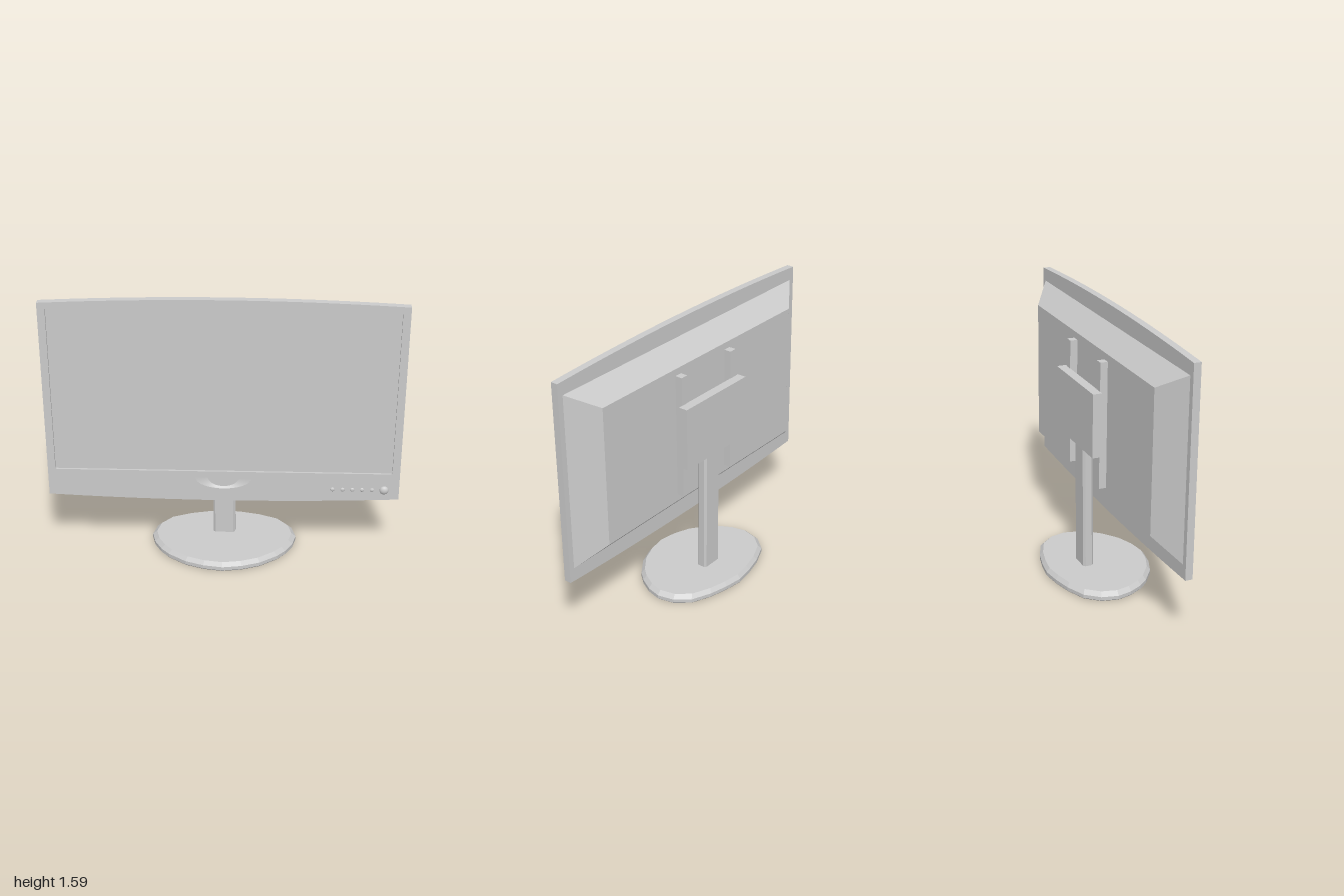
import * as THREE from 'three';

const mat = new THREE.MeshStandardMaterial({ color: 0xcccccc, side: THREE.DoubleSide });
const flat = new THREE.MeshStandardMaterial({ color: 0xcccccc, flatShading: true, side: THREE.DoubleSide });

function add(parent, name, geometry, material = mat) {
  const mesh = new THREE.Mesh(geometry, material);
  mesh.name = name;
  parent.add(mesh);
  return mesh;
}

// Box given by its limits on each axis
function block(parent, name, [x0, x1], [y0, y1], [z0, z1]) {
  const mesh = add(parent, name, new THREE.BoxGeometry(x1 - x0, y1 - y0, z1 - z0));
  mesh.position.set((x0 + x1) / 2, (y0 + y1) / 2, (z0 + z1) / 2);
  return mesh;
}

// Extrusion along z from z0 to z1
function slab(shape, z0, z1) {
  return new THREE.ExtrudeGeometry(shape, { depth: z1 - z0, bevelEnabled: false, curveSegments: 24 })
    .translate(0, 0, z0);
}

// Casing outline with gently bowed top and bottom
function outline() {
  const s = new THREE.Shape();
  s.moveTo(-1, 0.382);
  s.quadraticCurveTo(0, 0.332, 1, 0.382);
  s.lineTo(1, 1.56);
  s.quadraticCurveTo(0, 1.616, -1, 1.56);
  s.closePath();
  return s;
}

function roundedRect(path, x0, y0, x1, y1, r) {
  path.moveTo(x0 + r, y0);
  path.lineTo(x1 - r, y0);
  path.quadraticCurveTo(x1, y0, x1, y0 + r);
  path.lineTo(x1, y1 - r);
  path.quadraticCurveTo(x1, y1, x1 - r, y1);
  path.lineTo(x0 + r, y1);
  path.quadraticCurveTo(x0, y1, x0, y1 - r);
  path.lineTo(x0, y0 + r);
  path.quadraticCurveTo(x0, y0, x0 + r, y0);
  return path;
}

// Lower half of an ellipse, flat side up
const halfEllipse = (path, y, rx, ry) => {
  path.absellipse(0, y, rx, ry, Math.PI, Math.PI * 2, false, 0);
  path.closePath();
  return path;
};

// Surface through rings of equal point count
function loft(rings, closed) {
  const n = rings[0].length, index = [];
  for (let r = 0; r < rings.length - 1; r++) {
    for (let i = 0; i < (closed ? n : n - 1); i++) {
      const a = r * n + i, b = r * n + (i + 1) % n;
      index.push(a, b, a + n, b, b + n, a + n);
    }
  }
  const g = new THREE.BufferGeometry();
  g.setAttribute('position', new THREE.Float32BufferAttribute(rings.flat(2), 3));
  g.setIndex(index);
  g.computeVertexNormals();
  return g;
}

function createDisplay() {
  const g = new THREE.Group();
  g.name = 'display';
  const front = 0.117, seat = 0.104, back = 0.075, notchY = 0.505;

  // Front bezel with the screen opening and the thumb notch
  const bezel = outline();
  bezel.holes.push(roundedRect(new THREE.Path(), -0.957, 0.545, 0.957, 1.53, 0.012));
  bezel.holes.push(halfEllipse(new THREE.Path(), notchY, 0.16, 0.07));
  add(g, 'bezel', slab(bezel, seat, front));
  add(g, 'casing', slab(outline(), back, seat));
  add(g, 'screen', new THREE.ShapeGeometry(
    roundedRect(new THREE.Shape(), -0.95, 0.552, 0.95, 1.523, 0.01))).position.z = seat + 0.002;

  // Scooped notch around a raised half disc
  const arc = (rx, ry, z) => Array.from({ length: 25 }, (_, i) => {
    const a = Math.PI * (1 + i / 24);
    return [rx * Math.cos(a), notchY + ry * Math.sin(a), z];
  });
  add(g, 'notchScoop', loft([arc(0.16, 0.07, front), arc(0.125, 0.064, front - 0.004),
    arc(0.09, 0.058, seat + 0.001)], false));
  add(g, 'notchDisc', slab(halfEllipse(new THREE.Shape(), notchY, 0.086, 0.055), seat, front - 0.002));

  // Control buttons and the larger power button
  const button = (name, x, r, h) => {
    const m = add(g, name, new THREE.SphereGeometry(r, 20, 12));
    m.scale.z = h / r;
    m.position.set(x, 0.441, front - 0.002);
  };
  [0.622, 0.68, 0.735, 0.79, 0.847].forEach(x => button('controlButton', x, 0.013, 0.007));
  button('powerButton', 0.915, 0.026, 0.018);

  // Tapered rear housing
  const housing = new THREE.BoxGeometry(2, 2, 1);
  const p = housing.attributes.position;
  for (let i = 0; i < p.count; i++) {
    const rear = p.getZ(i) < 0;
    const top = p.getY(i) > 0;
    p.setXYZ(i, p.getX(i) * (rear ? 0.805 : 0.967),
      rear ? (top ? 1.385 : 0.57) : (top ? 1.487 : 0.46), rear ? -0.037 : back);
  }
  housing.computeVertexNormals();
  add(g, 'rearHousing', housing, flat);

  // Mounting rails and bracket box
  for (const s of [-1, 1]) {
    block(g, 'mountRail', [s * 0.212 - 0.023, s * 0.212 + 0.023], [0.61, 1.345], [-0.08, -0.033]);
  }
  block(g, 'mountBox', [-0.26, 0.26], [0.81, 1.18], [-0.132, -0.078]);

  // Slight tilt about mid-height
  const tilt = 0.011;
  g.rotation.x = tilt;
  g.position.z = -0.97 * Math.sin(tilt);
  return g;
}

function createStand() {
  const g = new THREE.Group();
  g.name = 'stand';

  // Column with chamfered corners
  const w = 0.065, d = 0.031, c = 0.012;
  const section = new THREE.Shape([[-w, -d + c], [-w + c, -d], [w - c, -d], [w, -d + c],
    [w, d - c], [w - c, d], [-w + c, d], [-w, d - c]].map(v => new THREE.Vector2(...v)));
  const column = add(g, 'column', slab(section, 0, 0.79).rotateX(-Math.PI / 2), flat);
  column.position.set(0, 0.04, -0.074);

  // Faceted oval foot with a sloped upper edge
  const half = [[0, -0.312], [0.11, -0.297], [0.22, -0.27], [0.335, -0.22], [0.402, -0.14], [0.425, -0.045],
    [0.405, 0.04], [0.362, 0.12], [0.315, 0.175], [0.214, 0.25], [0.11, 0.29], [0, 0.308]];
  const rim = [...half, ...half.slice(1, -1).reverse().map(([x, z]) => [-x, z])];
  const ring = (k, y) => rim.map(([x, z]) => [x * k, y, z * k]);
  add(g, 'foot', loft([ring(0, 0), ring(0.985, 0), ring(1, 0.006), ring(1, 0.027),
    ring(0.94, 0.05), ring(0, 0.05)], true), flat);
  return g;
}

export function createModel() {
  const model = new THREE.Group();
  model.name = 'monitor';
  model.add(createDisplay(), createStand());
  return model;
}
